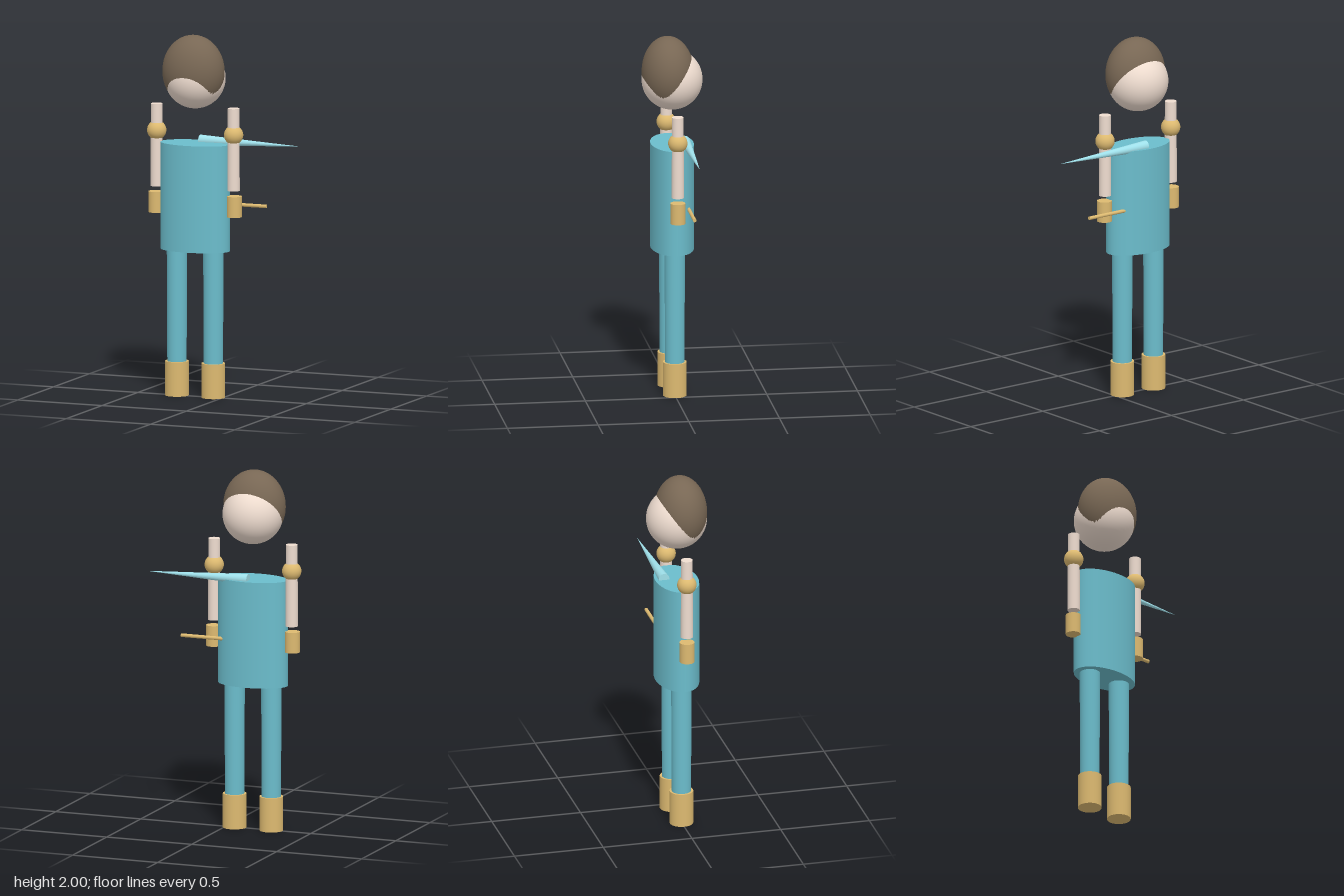
import * as THREE from 'three';

const paint = (color) => new THREE.MeshStandardMaterial({ color });
const teal = paint(0x6bbccb), gold = paint(0xdcb970), skin = paint(0xeedccf);
const brown = paint(0x786754), ice = paint(0x9fe0ea);

const MID = -0.16; // the body's own centre line

export function createModel() {
  const model = new THREE.Group();

  const add = (name, geometry, material, x, y, z = 0) => {
    const mesh = new THREE.Mesh(geometry, material);
    mesh.name = name;
    mesh.position.set(x, y, z);
    model.add(mesh);
    return mesh;
  };
  // upright cylinder between two heights
  const post = (name, rTop, rBottom, y0, y1, material, x) =>
    add(name, new THREE.CylinderGeometry(rTop, rBottom, y1 - y0, 40), material, x, (y0 + y1) / 2);

  // head: a round face pushed into a larger egg of hair
  add('face', new THREE.SphereGeometry(0.167, 48, 32), skin, MID, 1.76);
  add('hair', new THREE.SphereGeometry(1, 48, 32), brown, MID, 1.8, 0.023).scale.set(0.175, 0.2, 0.143);

  // oval torso
  post('torso', 1, 1, 0.81, 1.4, teal, MID).scale.set(0.2, 1, 0.118);

  // limbs, mirrored about the centre line
  for (const [side, s] of [['left', 1], ['right', -1]]) {
    post(side + 'Arm', 0.032, 0.034, 1.15, 1.605, skin, MID + s * 0.228);
    add(side + 'ArmBand', new THREE.SphereGeometry(0.053, 32, 24), gold, MID + s * 0.228, 1.458);
    post(side + 'Glove', 0.041, 0.041, 1.005, 1.12, gold, MID + s * 0.232);
    post(side + 'Leg', 0.056, 0.053, 0.19, 0.81, teal, MID + s * 0.108);
    post(side + 'Boot', 0.065, 0.065, 0, 0.19, gold, MID + s * 0.108);
  }

  // long spike lying across the back of the shoulders
  add('spike', new THREE.ConeGeometry(0.03, 0.598, 32), ice, 0.139, 1.406, -0.07).rotation.z = -Math.PI / 2;

  // thin rod sticking out of the side
  add('rod', new THREE.CylinderGeometry(0.01, 0.01, 0.393, 20), gold, 0.037, 1.063, -0.07).rotation.z = -Math.PI / 2;

  return model;
}
